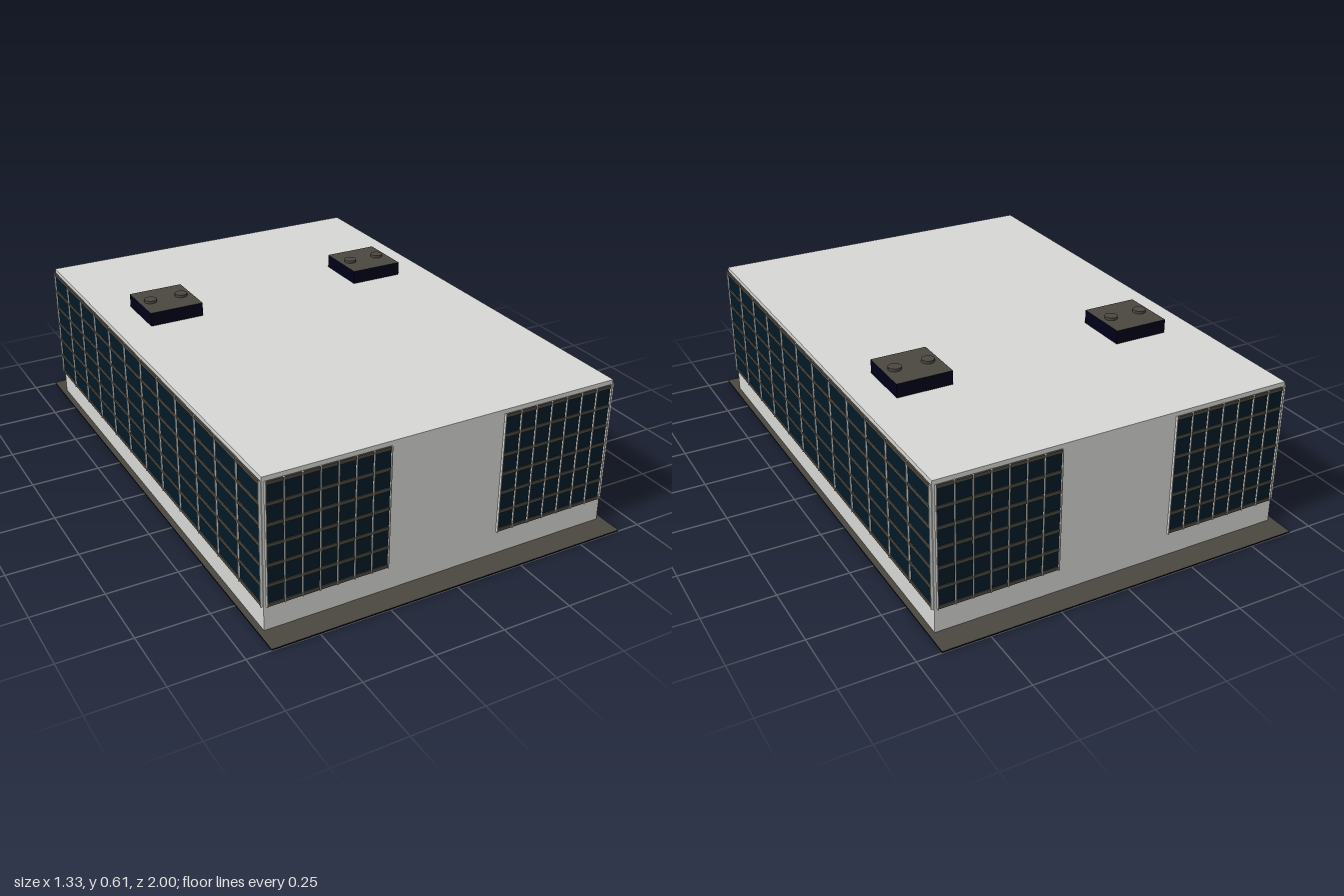
import * as THREE from 'three';

const mat = (name, color) => {
  const m = new THREE.MeshStandardMaterial({ color });
  m.name = name;
  return m;
};

export function createModel() {
  const concrete = mat('concrete', 0xd6d6d4);
  const glass = mat('darkGlass', 0x011927);
  const bronze = mat('bronze', 0x4b4740);
  const navy = mat('navy', 0x00001a);
  bronze.flatShading = true;

  const model = new THREE.Group();
  model.name = 'officeBlock';

  function box(parent, name, size, pos, material) {
    const mesh = new THREE.Mesh(new THREE.BoxGeometry(...size), material);
    mesh.name = name;
    mesh.position.set(...pos);
    parent.add(mesh);
    return mesh;
  }
  // navy sides with bronze top and bottom
  const capped = [navy, navy, bronze, bronze, navy, navy];

  // Ground slab and main block
  box(model, 'groundSlab', [1.33, 0.005, 2], [0, 0.0025, 0], capped);
  box(model, 'mainBlock', [1.29, 0.543, 1.82], [0, 0.2735, 0], concrete);

  // Window wall facing +z, its back on z = 0
  function windowWall(name, width, columns) {
    const wall = new THREE.Group();
    wall.name = name;
    const bottom = 0.092, height = 0.437, rows = 6, bar = 0.012;
    const midY = bottom + height / 2;
    box(wall, 'glazing', [width, height - 0.002, 0.003], [0, midY, 0.0015], glass);
    for (let i = 0; i <= rows; i++) {
      const y = bottom + bar / 2 + ((height - bar) * i) / rows;
      box(wall, 'transom', [width, bar, 0.006], [0, y, 0.003], bronze);
    }
    // thin projecting fins
    for (let i = 0; i <= columns; i++) {
      const x = -width / 2 + (width * i) / columns;
      box(wall, 'mullion', [0.003, height + 0.002, 0.009], [x, midY, 0.0045], concrete);
    }
    model.add(wall);
    return wall;
  }

  // Two windows on each end, one long window on each side
  for (const s of [1, -1]) {
    for (const x of [-0.4225, 0.4225]) {
      const end = windowWall(s > 0 ? 'frontWindow' : 'backWindow', 0.425, 7);
      end.position.set(x, 0, s * 0.91);
      end.rotation.y = s > 0 ? 0 : Math.PI;
    }
    const side = windowWall(s > 0 ? 'leftWindow' : 'rightWindow', 1.81, 12);
    side.position.x = s * 0.645;
    side.rotation.y = (s * Math.PI) / 2;
  }

  // Rooftop cooling units with two fans each
  for (const x of [-0.42, 0.42]) {
    const unit = new THREE.Group();
    unit.name = 'roofUnit';
    unit.position.set(x, 0.545, -0.31);
    box(unit, 'unitHousing', [0.202, 0.05, 0.202], [0, 0.025, 0], capped);
    for (const dx of [-0.06, 0.06]) {
      const fan = new THREE.Mesh(new THREE.CylinderGeometry(0.023, 0.023, 0.01, 16), bronze);
      fan.name = 'fan';
      fan.position.set(dx, 0.055, 0);
      unit.add(fan);
    }
    model.add(unit);
  }

  return model;
}
